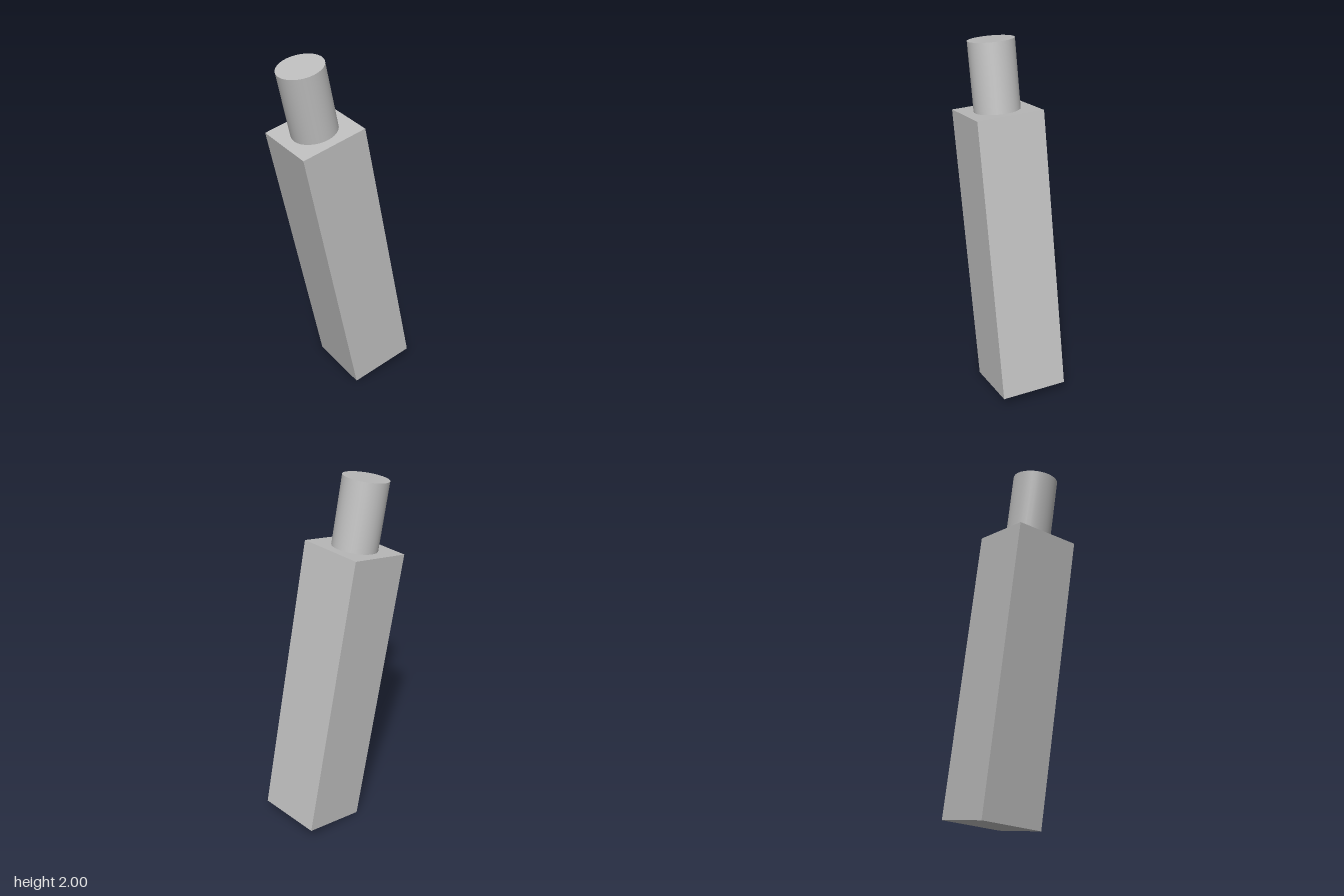
import * as THREE from 'three';

export function createModel() {
  const model = new THREE.Group();
  const grey = new THREE.MeshStandardMaterial({ color: 0xbfbfbf });
  grey.name = 'grey';

  const width = 0.376, height = 1.602, pegRadius = 0.126, pegHeight = 0.376;

  // Everything shares one axis, leaning 12 degrees towards -x
  const leaning = new THREE.Group();
  leaning.name = 'leaningPost';
  leaning.position.set(0.174, 0.039, 0);
  leaning.rotation.z = THREE.MathUtils.degToRad(12);
  model.add(leaning);

  const add = (name, geometry, y) => {
    const mesh = new THREE.Mesh(geometry, grey);
    mesh.name = name;
    mesh.position.y = y;
    leaning.add(mesh);
  };

  // Square post
  add('post', new THREE.BoxGeometry(width, height, width), height / 2);
  // Round peg standing on the post's top
  add('peg', new THREE.CylinderGeometry(pegRadius, pegRadius, pegHeight, 32), height + pegHeight / 2);

  return model;
}
